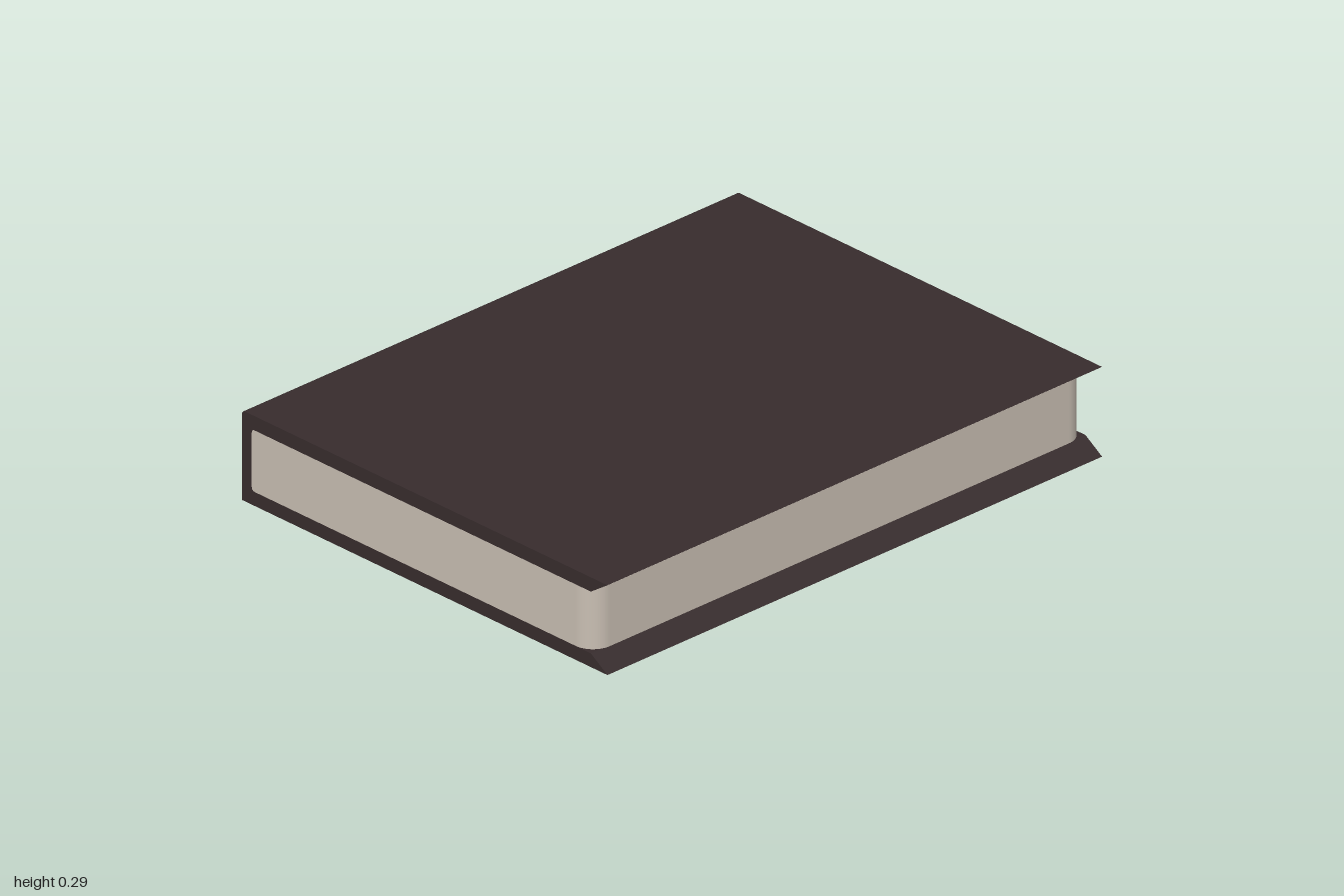
import * as THREE from 'three';

export function createModel() {
  const coverMat = new THREE.MeshStandardMaterial({ color: 0x372c2d });
  coverMat.name = 'dark cover';
  const pageMat = new THREE.MeshStandardMaterial({ color: 0xc8beb2 });
  pageMat.name = 'cream paper';

  const book = new THREE.Group();
  book.name = 'book';

  // Cover: C-shaped section (z across, y up) with bevelled fore edges, swept along x
  const H = 0.295, back = -0.77, front = 0.77, inBack = -0.73, inFront = 0.7;
  const low = 0.045, high = 0.248, r = 0.015;
  const c = new THREE.Shape();
  c.moveTo(front, 0);
  c.lineTo(inFront, low);
  c.lineTo(inBack + r, low);
  c.quadraticCurveTo(inBack, low, inBack, low + r);
  c.lineTo(inBack, high - r);
  c.quadraticCurveTo(inBack, high, inBack + r, high);
  c.lineTo(inFront, high);
  c.lineTo(front, H);
  c.lineTo(back + r, H);
  c.quadraticCurveTo(back, H, back, H - r);
  c.lineTo(back, 0);
  c.closePath();
  const coverGeo = new THREE.ExtrudeGeometry(c, { depth: 2, bevelEnabled: false, curveSegments: 5 });
  coverGeo.translate(0, 0, -1).rotateY(-Math.PI / 2);
  const cover = new THREE.Mesh(coverGeo, coverMat);
  cover.name = 'cover';
  book.add(cover);

  // Page block: plan outline (x, z) with rounded front corners
  const w = 0.999, pr = 0.07, pf = 0.705;
  const p = new THREE.Shape();
  p.moveTo(-w, inBack);
  p.lineTo(w, inBack);
  p.lineTo(w, pf - pr);
  p.absarc(w - pr, pf - pr, pr, 0, Math.PI / 2, false);
  p.lineTo(-w + pr, pf);
  p.absarc(-w + pr, pf - pr, pr, Math.PI / 2, Math.PI, false);
  p.closePath();
  const pageGeo = new THREE.ExtrudeGeometry(p, { depth: high - low, bevelEnabled: false, curveSegments: 10 });
  pageGeo.rotateX(Math.PI / 2).translate(0, high, 0);
  const pages = new THREE.Mesh(pageGeo, pageMat);
  pages.name = 'pages';
  book.add(pages);

  return book;
}
